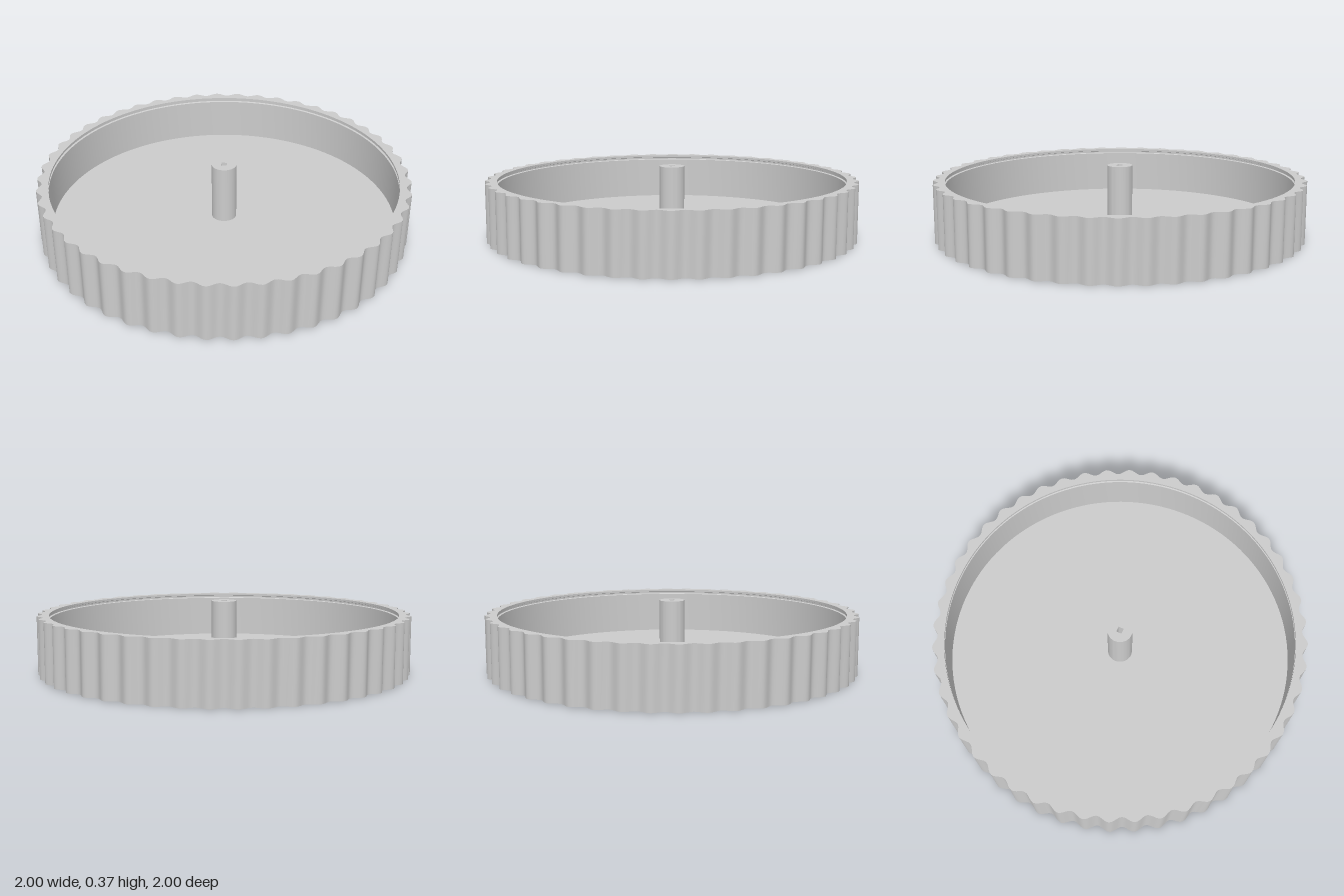
import * as THREE from 'three';
import { mergeVertices, toCreasedNormals } from 'three/addons/utils/BufferGeometryUtils.js';

const WAVES = 48, STEPS = WAVES * 10;
const HEIGHT = 0.312, FLOOR = 0.053, INNER = 0.936;
const POST_RADIUS = 0.067, POST_TOP = 0.373, SOCKET = 0.015;

// Scalloped outer radius at a given angle, with crests on both axes
const rimRadius = (angle) => 0.986 + 0.014 * Math.cos(WAVES * angle);

function scallopShape() {
  const points = [];
  for (let i = 0; i < STEPS; i++) {
    const a = (i / STEPS) * Math.PI * 2;
    points.push(new THREE.Vector2(Math.cos(a), Math.sin(a)).multiplyScalar(rimRadius(a)));
  }
  return new THREE.Shape(points);
}

export function createModel() {
  const group = new THREE.Group();
  const material = new THREE.MeshStandardMaterial({ color: 0xcccccc });
  const add = (name, geometry) => {
    const mesh = new THREE.Mesh(geometry, material);
    mesh.name = name;
    group.add(mesh);
    return mesh;
  };

  // Fluted outer wall: an open cylinder pushed in and out
  let wall = new THREE.CylinderGeometry(1, 1, HEIGHT, STEPS, 1, true);
  wall.translate(0, HEIGHT / 2, 0);
  const pos = wall.attributes.position;
  for (let i = 0; i < pos.count; i++) {
    const a = Math.atan2(pos.getZ(i), pos.getX(i));
    const r = rimRadius(a);
    pos.setXYZ(i, r * Math.cos(a), pos.getY(i), r * Math.sin(a));
  }
  wall.deleteAttribute('normal');
  wall.deleteAttribute('uv');
  wall = mergeVertices(wall);
  wall.computeVertexNormals();
  add('outerWall', wall);

  // Flat underside
  add('underside', new THREE.ShapeGeometry(scallopShape()).rotateX(Math.PI / 2));

  // Flat top of the rim
  const rim = scallopShape();
  rim.holes.push(new THREE.Path().absarc(0, 0, INNER, 0, Math.PI * 2, true));
  add('rimTop', new THREE.ShapeGeometry(rim, 64).rotateX(-Math.PI / 2)).position.y = HEIGHT;

  // Inside of the tray: lip, shallow snap groove, wall and floor
  const profile = [
    [INNER, HEIGHT], [INNER, 0.3], [INNER + 0.01, 0.297], [INNER + 0.01, 0.288],
    [INNER, 0.285], [INNER, FLOOR], [0, FLOOR],
  ].map(([x, y]) => new THREE.Vector2(x, y));
  add('trayInterior', toCreasedNormals(new THREE.LatheGeometry(profile, 128), 0.3));

  // Centre post with a small square socket
  const post = new THREE.Shape().absarc(0, 0, POST_RADIUS, 0, Math.PI * 2, false);
  post.holes.push(new THREE.Path([
    [-SOCKET, -SOCKET], [-SOCKET, SOCKET], [SOCKET, SOCKET], [SOCKET, -SOCKET],
  ].map(([x, y]) => new THREE.Vector2(x, y))));
  const postGeometry = new THREE.ExtrudeGeometry(post, {
    depth: POST_TOP - FLOOR, bevelEnabled: false, curveSegments: 48,
  }).rotateX(-Math.PI / 2);
  add('centerPost', toCreasedNormals(postGeometry, 0.5)).position.y = FLOOR;

  return group;
}
